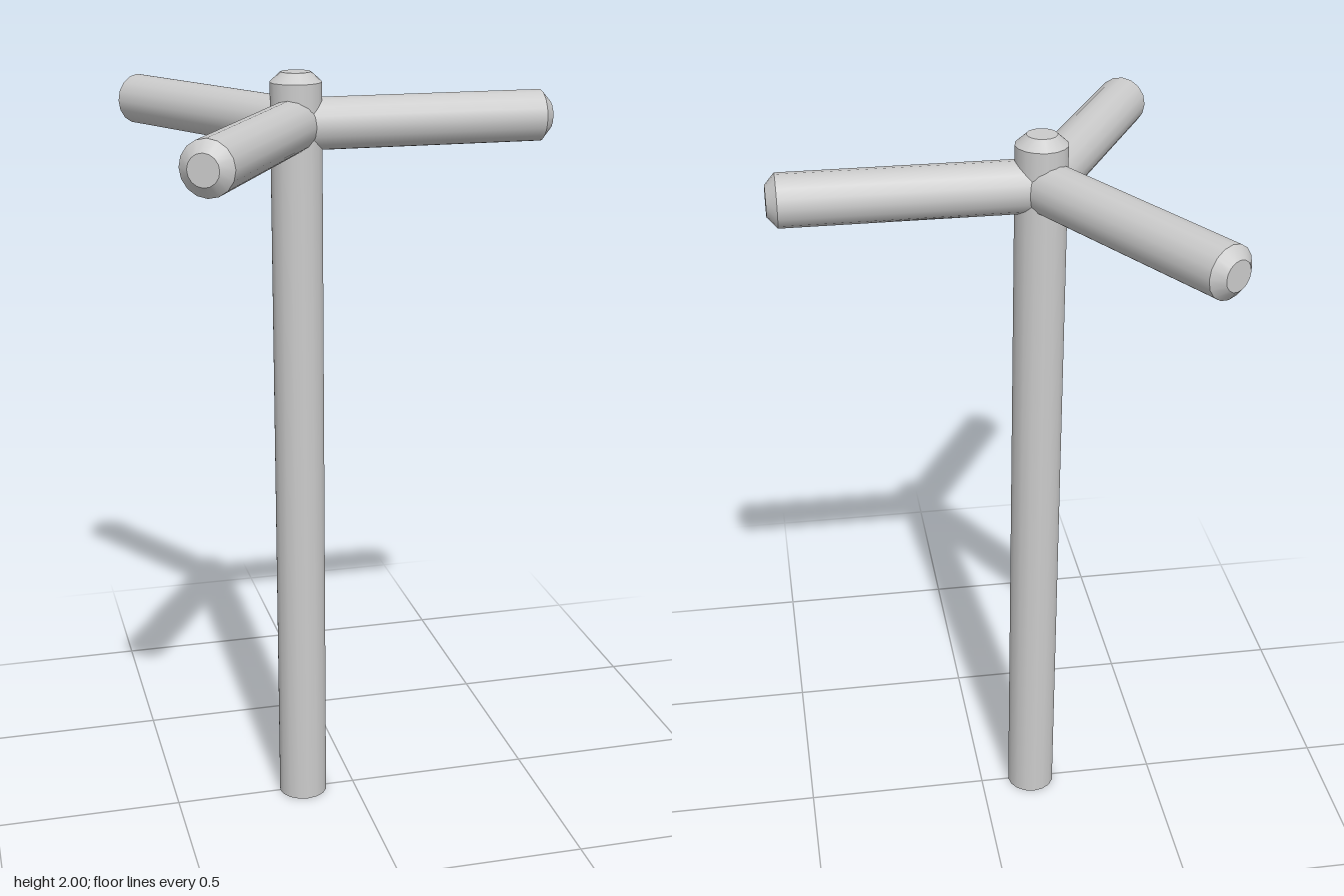
import * as THREE from 'three';

const SIDES = 16;
const RADIUS = 0.066;
const TIP_RADIUS = 0.038;
const BEVEL = 0.025;
const AXIS_X = -0.145;
const ARM_Y = 1.87;

const material = new THREE.MeshStandardMaterial({ color: 0xcccccc });

// Round bar rising from y = 0, with a bevelled far end
function bar(name, length) {
  const group = new THREE.Group();
  group.name = name;
  const add = (part, geometry, y) => {
    const mesh = new THREE.Mesh(geometry, material);
    mesh.name = part;
    mesh.position.y = y;
    group.add(mesh);
    return mesh;
  };
  const body = length - BEVEL;
  add(name + 'Shaft', new THREE.CylinderGeometry(RADIUS, RADIUS, body, SIDES, 1, true), body / 2);
  add(name + 'Bevel', new THREE.CylinderGeometry(TIP_RADIUS, RADIUS, BEVEL, SIDES, 1, true), length - BEVEL / 2);
  add(name + 'Tip', new THREE.CircleGeometry(TIP_RADIUS, SIDES), length).rotation.x = -Math.PI / 2;
  add(name + 'Base', new THREE.CircleGeometry(RADIUS, SIDES), 0).rotation.x = Math.PI / 2;
  return group;
}

export function createModel() {
  const model = new THREE.Group();
  model.name = 'threeArmedStand';

  // Upright post
  const post = bar('post', 2);
  post.position.x = AXIS_X;
  model.add(post);

  // Three level arms, evenly spread around the post
  for (let i = 0; i < 3; i++) {
    const arm = bar('arm' + (i + 1), 0.665);
    arm.rotation.set(0, (i * 2 * Math.PI) / 3, -Math.PI / 2, 'YXZ');
    arm.position.set(AXIS_X, ARM_Y, 0);
    model.add(arm);
  }
  return model;
}
